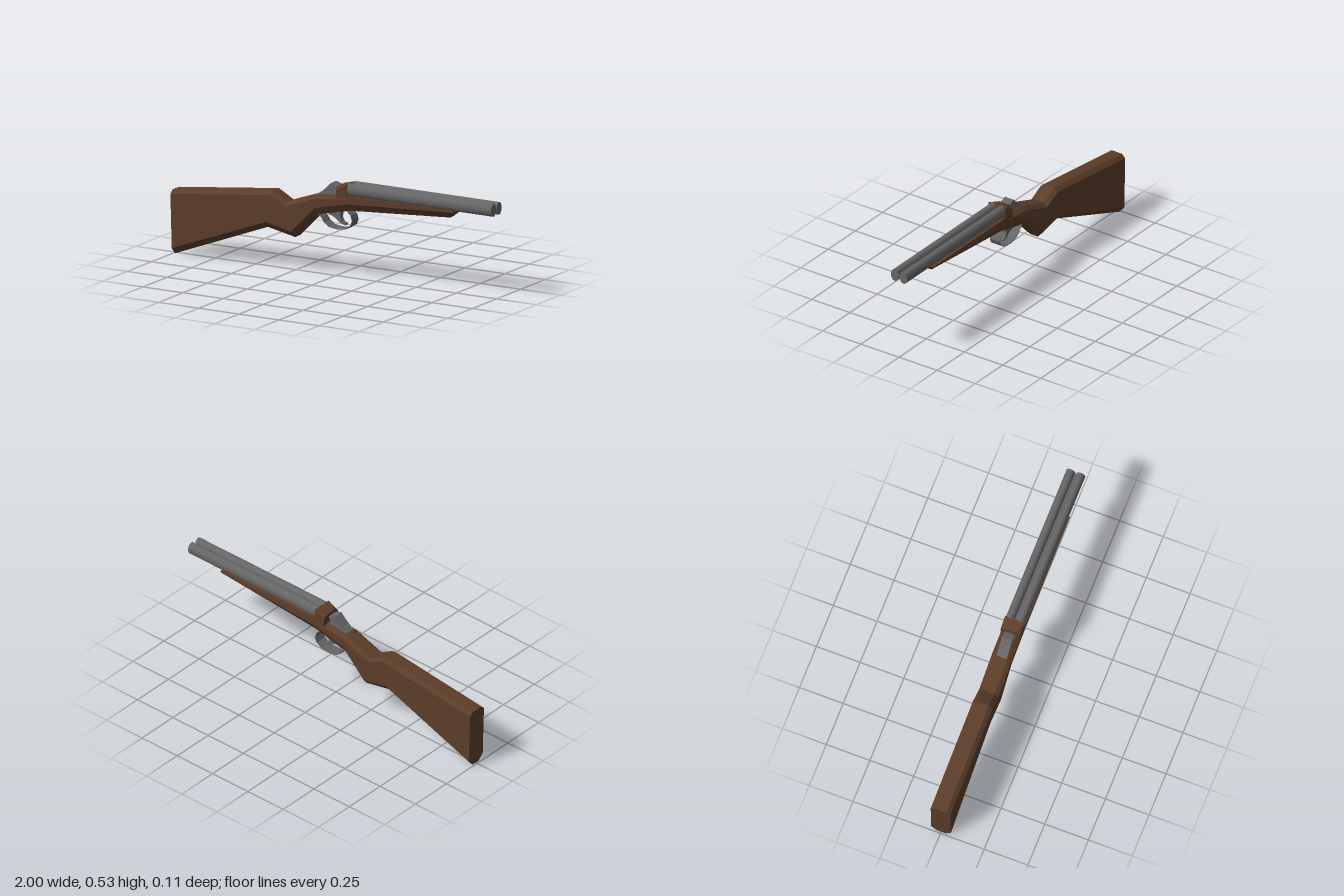
import * as THREE from 'three';

const wood = new THREE.MeshStandardMaterial({ color: 0x5c3d29, flatShading: true });
const metal = new THREE.MeshStandardMaterial({ color: 0x666666, flatShading: true });
const metalThin = new THREE.MeshStandardMaterial({ color: 0x666666, flatShading: true, side: THREE.DoubleSide });
const W = 0.056; // half width of the wood

// Chamfered cross-section leaning between a bottom and a top point.
// hb/fb: bottom chamfer height and flat half width, ht/ft: the same at the top.
function ring([xb, yb, xt, yt, hb, fb, ht, ft]) {
  const side = [[yb, fb], [yb + hb, W], [yt - ht, W], [yt, ft]];
  const point = (y, z) => [xb + (xt - xb) * (y - yb) / (yt - yb), y, z];
  return [...side.map(([y, z]) => point(y, -z)), ...side.reverse().map(([y, z]) => point(y, z))];
}

// Skin a row of rings running toward +x and close both ends.
function loft(sections) {
  const rings = sections.map(ring), n = 8, index = [];
  for (let i = 0; i < rings.length - 1; i++) {
    for (let k = 0; k < n; k++) {
      const a = i * n + k, b = i * n + (k + 1) % n;
      index.push(a, b, b + n, a, b + n, a + n);
    }
  }
  const last = (rings.length - 1) * n;
  for (let k = 1; k < n - 1; k++) {
    index.push(0, k + 1, k, last, last + k, last + k + 1);
  }
  const g = new THREE.BufferGeometry();
  g.setAttribute('position', new THREE.Float32BufferAttribute(rings.flat(2), 3));
  g.setIndex(index);
  const flat = g.toNonIndexed();
  flat.computeVertexNormals();
  return flat;
}

// Side outline extruded evenly about z = 0.
function plate(points, halfWidth) {
  const shape = new THREE.Shape(points.map(([x, y]) => new THREE.Vector2(x, y)));
  const g = new THREE.ExtrudeGeometry(shape, { depth: 2 * halfWidth, bevelEnabled: false });
  return g.translate(0, 0, -halfWidth);
}

export function createModel() {
  const model = new THREE.Group();
  model.name = 'doubleBarrelShotgun';
  const add = (name, geometry, material) => {
    const mesh = new THREE.Mesh(geometry, material);
    mesh.name = name;
    model.add(mesh);
    return mesh;
  };

  // Butt, grip and receiver
  add('stock', loft([
    [-0.99, 0.0, -1.0, 0.352, 0.035, 0.025, 0.02, 0.034],
    [-0.41, 0.22, -0.375, 0.425, 0.034, 0.025, 0.02, 0.034],
    [-0.24, 0.186, -0.285, 0.375, 0.034, 0.025, 0.02, 0.034],
    [-0.1, 0.33, -0.095, 0.442, 0.04, 0.032, 0.02, 0.034],
    [0.1, 0.375, 0.1, 0.46, 0.04, 0.032, 0.02, 0.034],
  ]), wood);

  // Wood under the barrels, with a sloped nose
  add('foreEnd', loft([
    [0.095, 0.375, 0.095, 0.461, 0.04, 0.03, 0.001, W],
    [0.72, 0.414, 0.77, 0.461, 0.04, 0.014, 0.001, W],
  ]), wood);

  // Block holding the barrel breeches
  add('breechBlock', loft([
    [0.035, 0.44, 0.035, 0.508, 0.001, W, 0.02, 0.03],
    [0.1, 0.44, 0.1, 0.522, 0.001, W, 0.001, W],
  ]), wood);

  // Twin barrels, slightly taller than wide
  for (const s of [-1, 1]) {
    const barrel = new THREE.CylinderGeometry(1, 1, 0.905, 16)
      .rotateZ(-Math.PI / 2).scale(1, 0.035, 0.0255).translate(0.5475, 0.492, s * 0.0285);
    add(s > 0 ? 'leftBarrel' : 'rightBarrel', barrel, metal);
  }
  add('barrelRib', new THREE.BoxGeometry(0.9, 0.012, 0.01).translate(0.545, 0.491, 0), metal);

  // Hammer
  add('hammer', plate([
    [-0.1, 0.43], [0.045, 0.43], [0.04, 0.445], [0.015, 0.465], [0.025, 0.5],
    [0.005, 0.507], [-0.015, 0.513], [-0.035, 0.492], [-0.065, 0.465], [-0.1, 0.442],
  ], 0.029), metal);

  // Trigger
  add('trigger', plate([
    [-0.04, 0.335], [-0.015, 0.33], [0.01, 0.316], [0.035, 0.295], [0.065, 0.287],
    [0.066, 0.296], [0.047, 0.303], [0.035, 0.325], [0.04, 0.372], [-0.04, 0.36],
  ], 0.014), metal);

  // Trigger guard: a thin bent strip
  const outline = [
    [-0.1, 0.338], [-0.075, 0.318], [-0.055, 0.29], [-0.025, 0.27], [0.02, 0.263],
    [0.075, 0.268], [0.11, 0.29], [0.122, 0.318], [0.112, 0.35], [0.085, 0.373],
  ];
  const inner = outline.map(([x, y]) => [x + (0.01 - x) * 0.04, y + (0.36 - y) * 0.04]).reverse();
  add('triggerGuard', plate([...outline, ...inner], 0.032), metalThin);

  return model;
}
